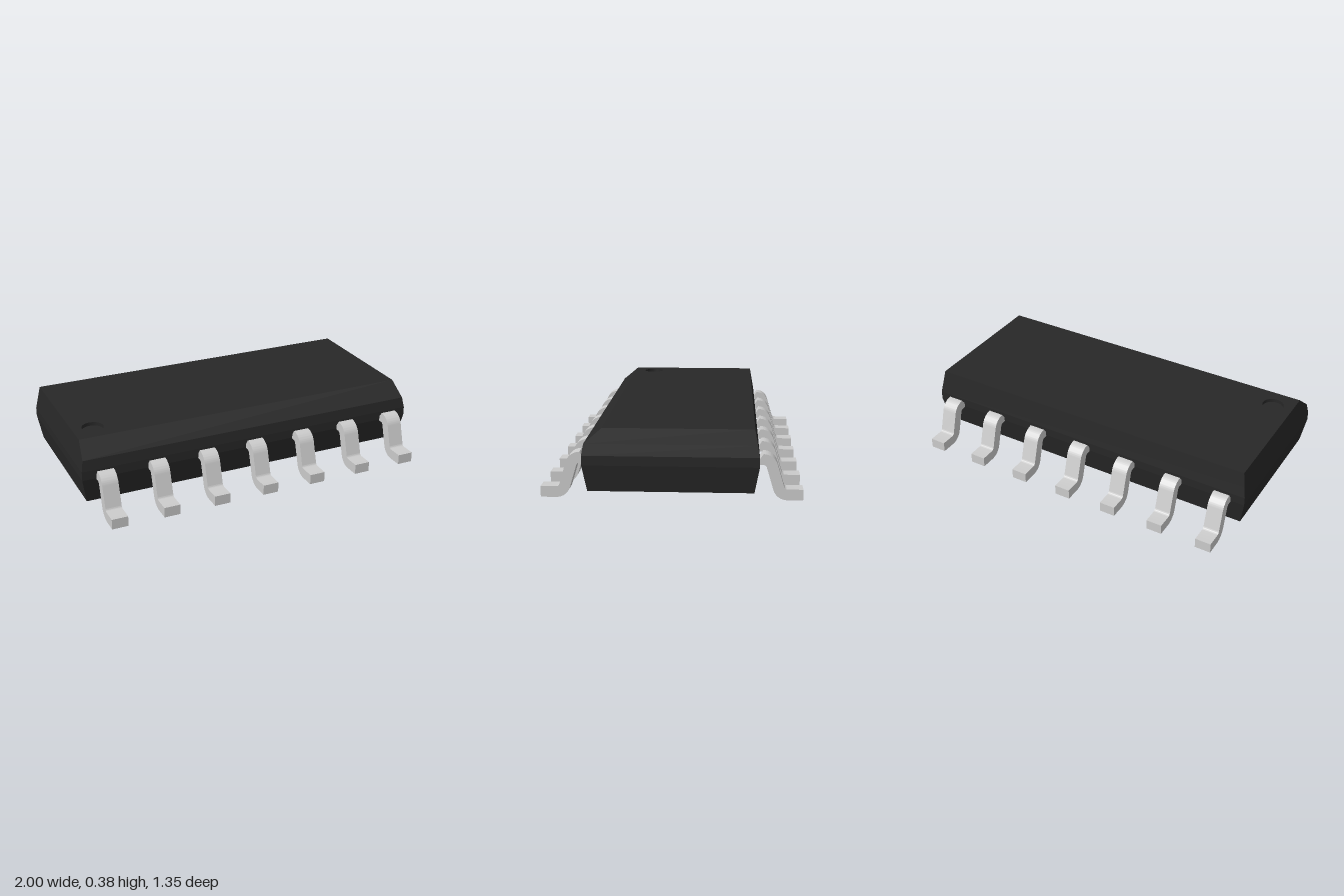
import * as THREE from 'three';
import { toCreasedNormals } from 'three/addons/utils/BufferGeometryUtils.js';

const DIMPLE = { x: -0.86, z: 0.225, r: 0.06, depth: 0.02 };
const TOP = 0.38;

// Body cross-sections from bottom to top: [y, half width, back z, front z]
const RINGS = [
  [0.05, 0.975, -0.425, 0.425],
  [0.19, 1.0, -0.45, 0.45],
  [0.24, 1.0, -0.45, 0.45],
  [0.3, 0.989, -0.439, 0.439],
  [TOP, 0.975, -0.425, 0.345],
];

// Tapered walls and floor of the package
function bodyShell() {
  const rings = RINGS.map(([y, w, b, f]) => [[-w, y, f], [w, y, f], [w, y, b], [-w, y, b]]);
  const pos = [];
  const quad = (a, b, c, d) => pos.push(...a, ...b, ...c, ...a, ...c, ...d);
  for (let i = 0; i < rings.length - 1; i++) {
    for (let j = 0; j < 4; j++) {
      const k = (j + 1) % 4;
      quad(rings[i][j], rings[i][k], rings[i + 1][k], rings[i + 1][j]);
    }
  }
  const [a, b, c, d] = rings[0];
  quad(d, c, b, a);
  const geo = new THREE.BufferGeometry();
  geo.setAttribute('position', new THREE.Float32BufferAttribute(pos, 3));
  geo.computeVertexNormals();
  return geo;
}

// Top face with a round opening for the pin-one dimple
function bodyTop() {
  const [y, w, b, f] = RINGS[RINGS.length - 1];
  const shape = new THREE.Shape();
  shape.moveTo(-w, -f).lineTo(w, -f).lineTo(w, -b).lineTo(-w, -b).closePath();
  shape.holes.push(new THREE.Path().absarc(DIMPLE.x, -DIMPLE.z, DIMPLE.r, 0, Math.PI * 2, true));
  return new THREE.ShapeGeometry(shape, 24).rotateX(-Math.PI / 2).translate(0, y, 0);
}

// Gull-wing lead: side profile in (z, y), extruded across its width
function leadGeometry(width) {
  const tilt = 0.27, outer = 0.075, inner = 0.018;
  const up = [0.47, 0.166], low = [0.594, 0.075];
  const s = new THREE.Shape();
  s.moveTo(0.43, up[1] + outer);
  s.absarc(...up, outer, Math.PI / 2, tilt, true);
  s.absarc(...low, inner, Math.PI + tilt, Math.PI * 1.5, false);
  s.lineTo(0.675, low[1] - inner);
  s.lineTo(0.675, 0);
  s.absarc(...low, outer, Math.PI * 1.5, Math.PI + tilt, true);
  s.absarc(...up, inner, tilt, Math.PI / 2, false);
  s.lineTo(0.43, up[1] + inner);
  s.closePath();
  const geo = new THREE.ExtrudeGeometry(s, { depth: width, bevelEnabled: false, curveSegments: 10 });
  geo.translate(0, 0, -width / 2).rotateY(-Math.PI / 2);
  return toCreasedNormals(geo, 0.5);
}

export function createModel() {
  const model = new THREE.Group();
  model.name = 'chipPackage';
  const plastic = new THREE.MeshStandardMaterial({ color: 0x272727 });
  const plasticInside = new THREE.MeshStandardMaterial({ color: 0x272727, side: THREE.BackSide });
  const metal = new THREE.MeshStandardMaterial({ color: 0xcccccc });

  const add = (parent, name, geo, mat) => {
    const mesh = new THREE.Mesh(geo, mat);
    mesh.name = name;
    parent.add(mesh);
    return mesh;
  };

  // Plastic package
  const body = new THREE.Group();
  body.name = 'body';
  model.add(body);
  add(body, 'bodyShell', bodyShell(), plastic);
  add(body, 'bodyTop', bodyTop(), plastic);

  // Pin-one dimple: wall seen from inside, and floor
  const { x, z, r, depth } = DIMPLE;
  add(body, 'dimpleWall', new THREE.CylinderGeometry(r, r, depth, 48, 1, true), plasticInside)
    .position.set(x, TOP - depth / 2, z);
  add(body, 'dimpleFloor', new THREE.CircleGeometry(r, 48).rotateX(-Math.PI / 2), plastic)
    .position.set(x, TOP - depth, z);

  // Seven leads along each long side
  const lead = leadGeometry(0.09);
  for (const side of ['front', 'back']) {
    const row = new THREE.Group();
    row.name = side + 'Leads';
    if (side === 'back') row.rotation.y = Math.PI;
    for (let i = -3; i <= 3; i++) {
      add(row, side + 'Lead' + (i + 4), lead, metal).position.x = i * 0.292;
    }
    model.add(row);
  }
  return model;
}
